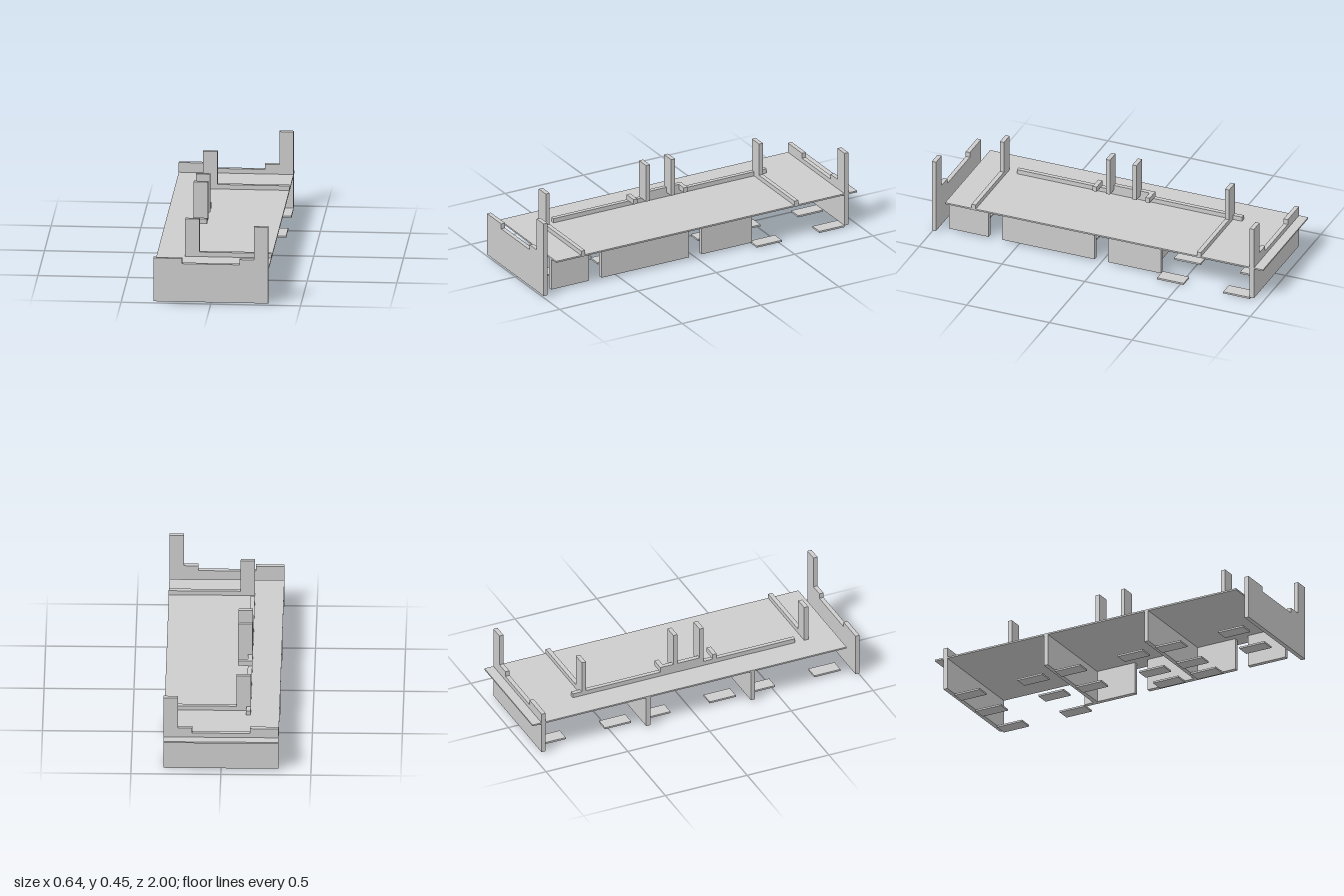
import * as THREE from 'three';

const T = 0.025; // wall thickness

export function createModel() {
  const model = new THREE.Group();
  const grey = new THREE.MeshStandardMaterial({ color: 0xcccccc });
  grey.name = 'light grey';

  // Box given by its limits along each axis
  const box = (name, x0, x1, y0, y1, z0, z1) => {
    const mesh = new THREE.Mesh(new THREE.BoxGeometry(x1 - x0, y1 - y0, z1 - z0), grey);
    mesh.position.set((x0 + x1) / 2, (y0 + y1) / 2, (z0 + z1) / 2);
    mesh.name = name;
    model.add(mesh);
  };

  // Deck
  box('deck', -0.32, 0.32, 0.195, 0.204, -1, 0.92);

  // End walls with a stepped parapet and a corner post
  const outline = [
    [-0.32, 0.01], [0.32, 0.01], [0.32, 0.45], [0.24, 0.45], [0.24, 0.26],
    [0.16, 0.26], [0.16, 0.23], [-0.16, 0.23], [-0.16, 0.26], [-0.32, 0.26],
  ].map(([x, y]) => new THREE.Vector2(x, y));
  const endWall = new THREE.ExtrudeGeometry(new THREE.Shape(outline), { depth: T, bevelEnabled: false });
  for (const [name, z] of [['frontWall', 0.975], ['backWall', -0.945]]) {
    const wall = new THREE.Mesh(endWall, grey);
    wall.name = name;
    wall.position.z = z;
    model.add(wall);
  }

  // Lower storey: cross walls and side panels
  for (const z of [0.335, -0.305]) box('crossWall', -0.32, 0.24, 0.01, 0.197, z, z + T);
  for (const [z0, z1] of [[0.68, 0.92], [0.04, 0.6], [-0.36, -0.04]]) {
    box('sidePanel', 0.24, 0.24 + T, 0.01, 0.197, z0, z1);
  }

  // Upper storey: low cross rails, each with a post
  for (const z of [0.735, -0.625]) {
    box('crossRail', -0.16, 0.32, 0.2, 0.23, z, z + T);
    box('railPost', -0.16, -0.08, 0.23, 0.42, z, z + T);
  }

  // Long rail with its raised middle, tall posts and short stubs
  box('longRail', -0.16, -0.16 + T, 0.2, 0.23, -0.68, 0.68);
  box('raisedRail', -0.16, -0.16 + T, 0.23, 0.26, -0.145, 0.12);
  for (const z of [0.095, -0.065]) box('tallPost', -0.16, -0.08, 0.23, 0.45, z, z + T);
  for (const z of [0.175, -0.145]) box('railStub', -0.16, -0.08, 0.23, 0.26, z, z + T);

  // Floor tiles: rows along z with the centre x of each tile
  const rows = [
    [0.84, [-0.2, 0.04]],
    [0.44, [-0.2, 0.04, 0.2]],
    [0.2, [-0.2, 0.04, 0.2]],
    [-0.2, [-0.2, 0.04]],
    [-0.44, [-0.2, 0.04, 0.28]],
    [-0.84, [-0.2, 0.04, 0.28]],
  ];
  for (const [z, xs] of rows) {
    for (const x of xs) box('floorTile', x - 0.04, x + 0.04, 0, 0.01, z - 0.08, z + 0.08);
  }

  return model;
}
